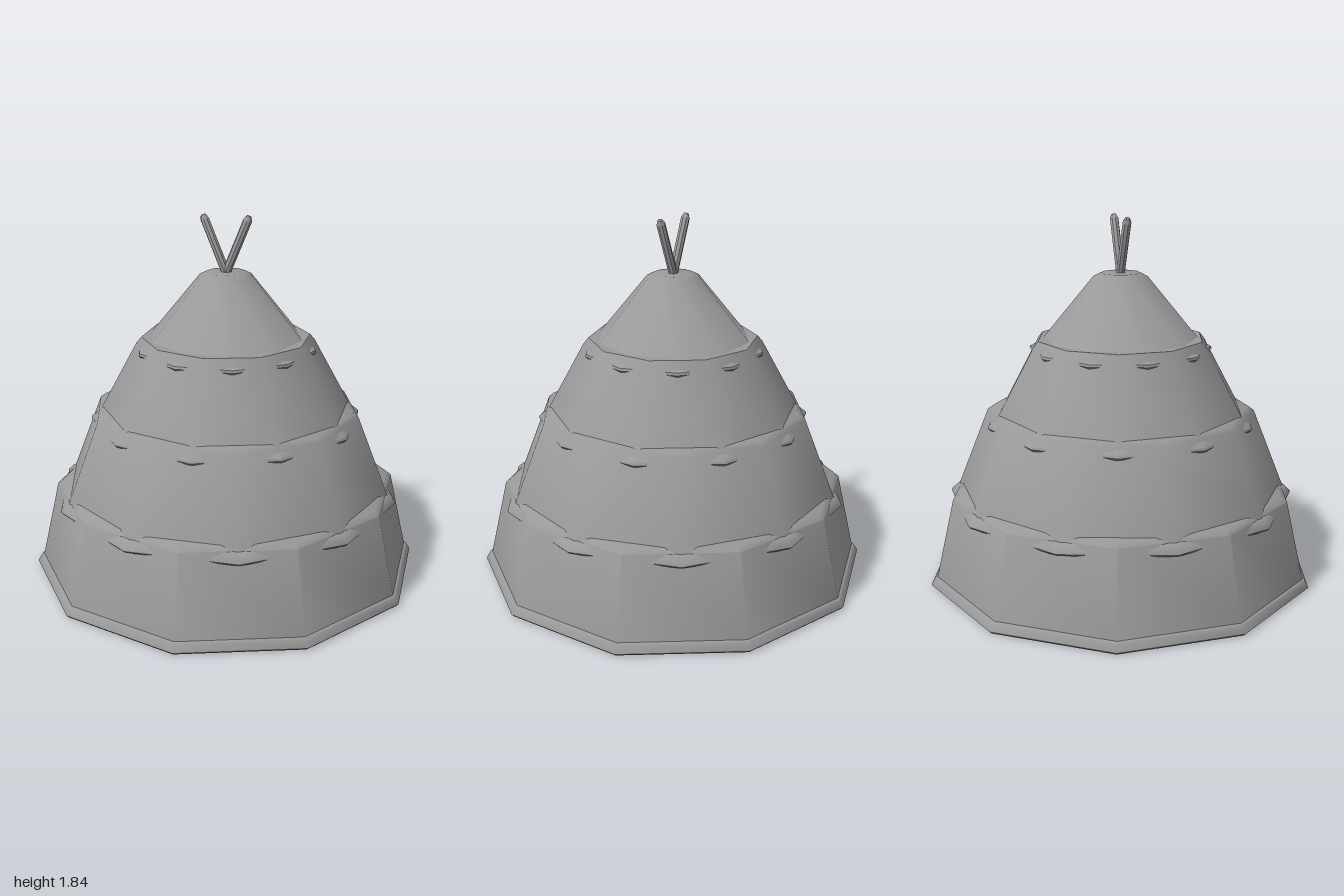
import * as THREE from 'three';
import { toCreasedNormals } from 'three/addons/utils/BufferGeometryUtils.js';

const SIDES = 10;
const CREASE = THREE.MathUtils.degToRad(42);

// Each tier: foot height and radius, foot rim height, wall radii, top height and flat top radius
const TIERS = [
  { y: 0.0, foot: 1.0, rim: 0.05, wall: 0.968, shoulder: 0.875, shoulderY: 0.455, flat: 0.85, top: 0.475 },
  { y: 0.4, foot: 0.885, rim: 0.05, wall: 0.842, shoulder: 0.682, shoulderY: 0.855, flat: 0.655, top: 0.875 },
  { y: 0.8, foot: 0.688, rim: 0.045, wall: 0.645, shoulder: 0.45, shoulderY: 1.205, flat: 0.425, top: 1.235 },
  { y: 1.165, foot: 0.46, rim: 0.04, wall: 0.408, shoulder: 0.135, shoulderY: 1.542, flat: 0.1, top: 1.56 },
];

function lathe(points, sides) {
  const profile = points.map(([r, y]) => new THREE.Vector2(r, y));
  return toCreasedNormals(new THREE.LatheGeometry(profile, sides), CREASE);
}

// Sloping cloth wall with a thick rim at its foot and a bevelled shoulder
function tierGeometry(t) {
  return lathe([
    [0, t.y],
    [t.foot - 0.012, t.y],
    [t.foot, t.y + 0.012],
    [t.foot - 0.004, t.y + 0.024],
    [t.wall + 0.012, t.y + t.rim],
    [t.wall, t.y + t.rim + 0.004],
    [t.shoulder, t.shoulderY],
    [t.flat, t.top],
    [0, t.top],
  ], SIDES);
}

export function createModel() {
  const group = new THREE.Group();
  group.name = 'tieredTent';
  const grey = new THREE.MeshStandardMaterial({ color: 0x999999 });
  grey.name = 'grey';

  // Every second tier is turned by half a side, so its rim corners poke through the tier below
  TIERS.forEach((t, i) => {
    const tier = new THREE.Mesh(tierGeometry(t), grey);
    tier.name = `tier${i + 1}`;
    tier.rotation.y = (i % 2) * Math.PI / SIDES;
    group.add(tier);
  });

  // Two blunt-ended poles spreading out of the top
  const poleGeometry = lathe([
    [0, 0], [0.022, 0], [0.022, 0.335], [0.012, 0.358], [0, 0.36],
  ], 8);
  for (const side of [-1, 1]) {
    const pole = new THREE.Mesh(poleGeometry, grey);
    pole.name = side > 0 ? 'leftPole' : 'rightPole';
    pole.position.set(-0.02 * side, 1.505, 0);
    pole.rotation.z = -side * 0.39;
    group.add(pole);
  }
  return group;
}
